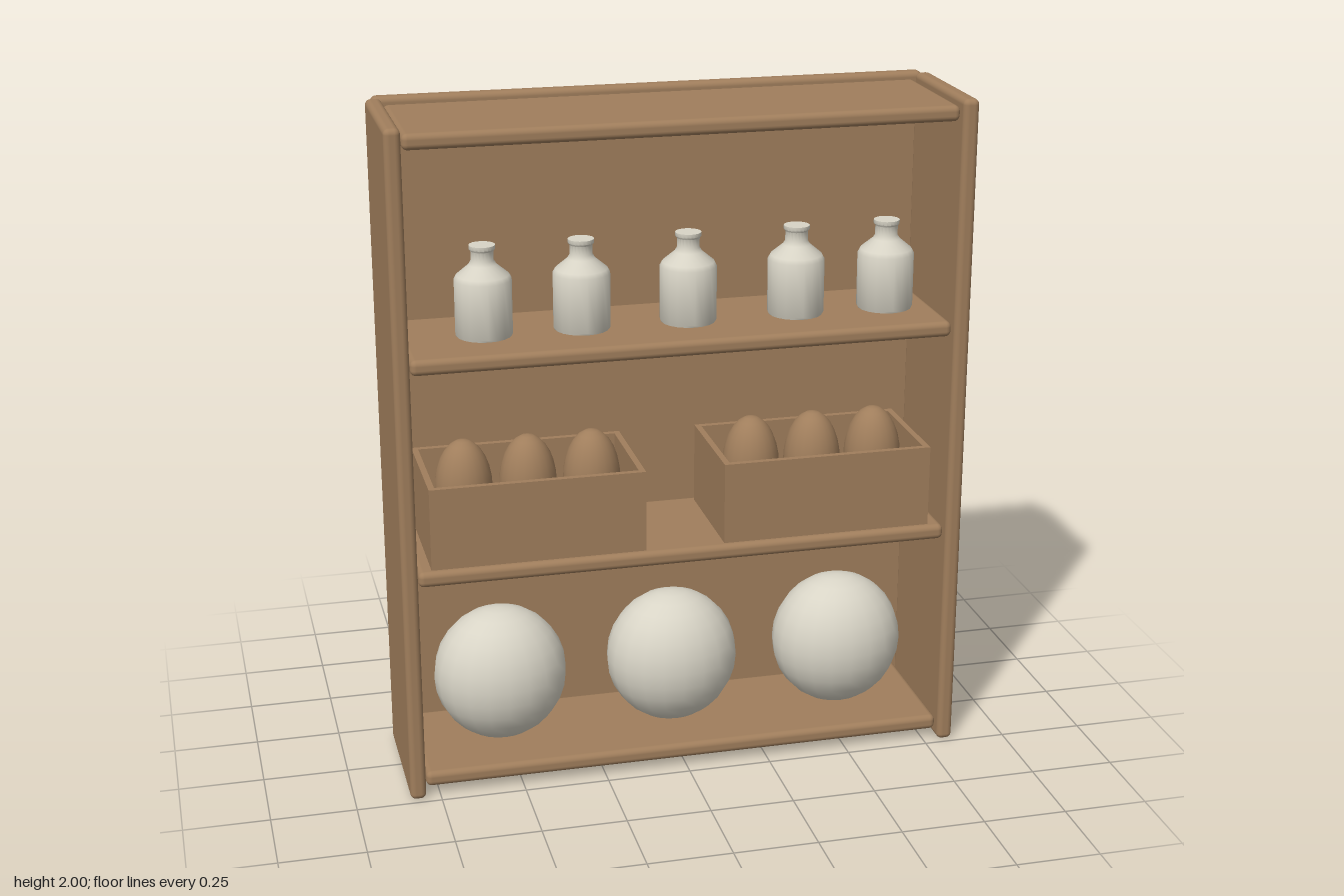
import * as THREE from 'three';
import { RoundedBoxGeometry } from 'three/addons/geometries/RoundedBoxGeometry.js';
import { toCreasedNormals } from 'three/addons/utils/BufferGeometryUtils.js';

export function createModel() {
  const model = new THREE.Group();
  const wood = new THREE.MeshStandardMaterial({ color: 0xa07e5c });
  wood.name = 'wood';
  const ceramic = new THREE.MeshStandardMaterial({ color: 0xd8d4c6 });
  ceramic.name = 'pale ceramic';

  function add(parent, name, geometry, material, x, y, z) {
    const mesh = new THREE.Mesh(geometry, material);
    mesh.name = name;
    mesh.position.set(x, y, z);
    parent.add(mesh);
    return mesh;
  }

  // Cabinet: back, two sides and four shelves with rounded edges
  const board = (w, h, d) => new RoundedBoxGeometry(w, h, d, 3, 0.017);
  add(model, 'backPanel', board(1.64, 2, 0.047), wood, 0, 1, -0.2135);
  add(model, 'leftSide', board(0.047, 2, 0.425), wood, 0.8165, 1, 0.0245);
  add(model, 'rightSide', board(0.047, 2, 0.425), wood, -0.8165, 1, 0.0245);
  const shelfGeometry = board(1.58, 0.046, 0.41);
  [0.052, 0.687, 1.322, 1.957].forEach((y) => add(model, 'shelf', shelfGeometry, wood, 0, y, 0.015));

  // Bottles on the upper shelf
  const profile = [[0, 0], [0.08, 0], [0.083, 0.006], [0.083, 0.165], [0.076, 0.178], [0.04, 0.208],
    [0.033, 0.22], [0.033, 0.248], [0.038, 0.254], [0.038, 0.265], [0, 0.265]];
  const bottleGeometry = toCreasedNormals(
    new THREE.LatheGeometry(profile.map(([r, y]) => new THREE.Vector2(r, y)), 20), 0.7);
  [-0.55, -0.265, 0.05, 0.375, 0.65].forEach((x) => add(model, 'bottle', bottleGeometry, ceramic, x, 1.345, 0.015));

  // Open crates, each holding three eggs
  const W = 0.63, H = 0.245, D = 0.36, T = 0.018;
  const eggGeometry = new THREE.SphereGeometry(1, 20, 14).scale(0.085, 0.15, 0.085);
  [-0.435, 0.43].forEach((x) => {
    const crate = new THREE.Group();
    crate.name = 'crate';
    crate.position.set(x, 0.71, 0.02);
    model.add(crate);
    add(crate, 'crateFloor', new THREE.BoxGeometry(W - 2 * T, T, D - 2 * T), wood, 0, T / 2, 0);
    for (const s of [-1, 1]) {
      add(crate, 'crateLongWall', new THREE.BoxGeometry(W, H, T), wood, 0, H / 2, s * (D - T) / 2);
      add(crate, 'crateEndWall', new THREE.BoxGeometry(T, H, D - 2 * T), wood, s * (W - T) / 2, H / 2, 0);
    }
    for (const i of [-1, 0, 1]) add(crate, 'egg', eggGeometry, wood, i * 0.19, 0.178, 0.01);
  });

  // Round vessels on the lower shelf
  const vesselGeometry = new THREE.SphereGeometry(1, 20, 14).scale(0.2, 0.208, 0.168);
  [-0.53, 0, 0.525].forEach((x) => add(model, 'roundVessel', vesselGeometry, ceramic, x, 0.285, 0.015));

  return model;
}
